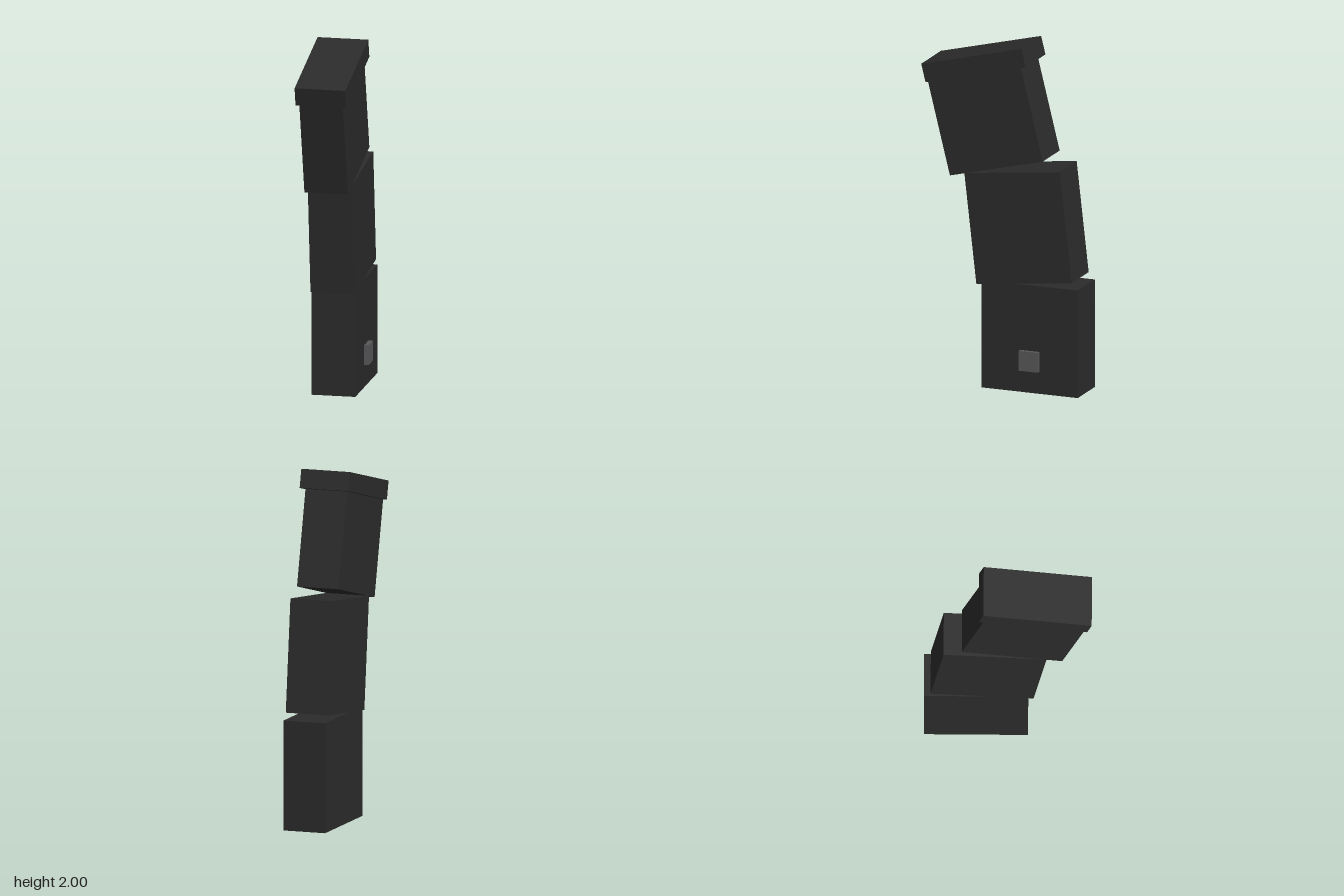
import * as THREE from 'three';

export function createModel() {
  const model = new THREE.Group();
  const dark = new THREE.MeshStandardMaterial({ color: 0x2b2b2b });
  const grey = new THREE.MeshStandardMaterial({ color: 0x58585a });

  // A box given by size, centre and forward tilt in degrees
  function addBox(name, size, centre, tilt = 0, material = dark) {
    const mesh = new THREE.Mesh(new THREE.BoxGeometry(...size), material);
    mesh.name = name;
    mesh.position.set(...centre);
    mesh.rotation.x = THREE.MathUtils.degToRad(tilt);
    model.add(mesh);
  }

  // Three stacked segments, each leaning further forward
  addBox('lowerSegment', [0.25, 0.625, 0.583], [-0.004, 0.3125, -0.177]);
  addBox('middleSegment', [0.25, 0.642, 0.581], [-0.004, 0.95, -0.1065], 6.5);
  addBox('upperSegment', [0.25, 0.55, 0.579], [-0.004, 1.549, 0.0915], 14);

  // Overhanging plate closing the top end
  addBox('endPlate', [0.291, 0.108, 0.625], [-0.004, 1.8725, 0.155], 14);

  // Small square button on the left face of the lower segment
  addBox('sideButton', [0.035, 0.115, 0.115], [0.1285, 0.186, -0.178], 0, grey);

  return model;
}
